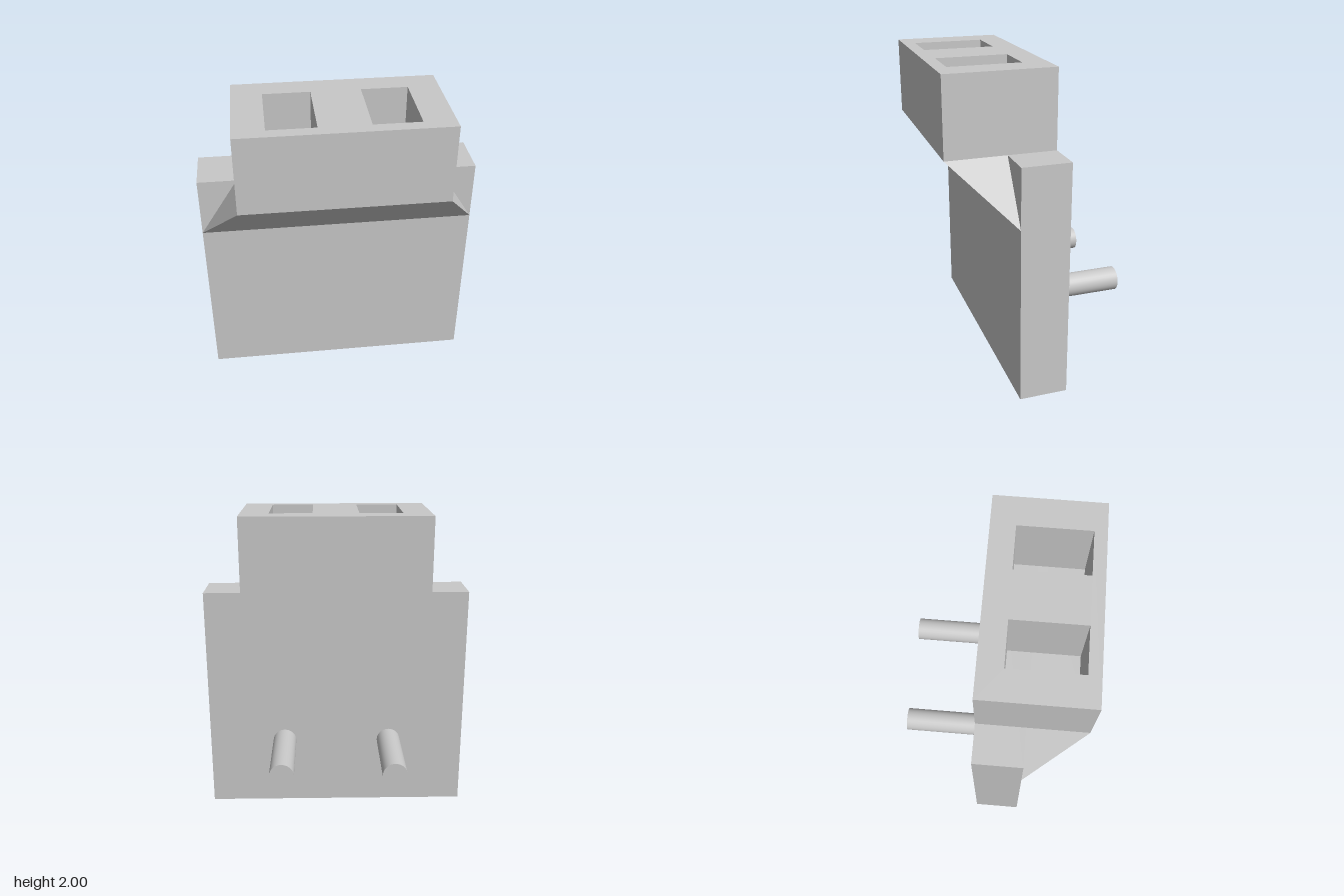
import * as THREE from 'three';
import { ConvexGeometry } from 'three/addons/geometries/ConvexGeometry.js';

const BACK = -0.07, FACE = 0.235, FRONT = 0.613; // depth of the back, plate face and head face
const SHOULDER = 1.507, TOP = 2;                // heights of the plate and the head
const PLATE_X = 0.87, HEAD_X = 0.628;           // half widths

// Closed counter-clockwise rectangle in the x/z plane
function rect(PathType, x0, x1, z0, z1) {
  return new PathType([[x0, z1], [x1, z1], [x1, z0], [x0, z0]].map(([x, z]) => new THREE.Vector2(x, -z)));
}

export function createModel() {
  const group = new THREE.Group();
  const grey = new THREE.MeshStandardMaterial({ color: 0xc8c8c8 });
  grey.name = 'grey';

  const add = (name, geometry, x = 0, y = 0, z = 0) => {
    const mesh = new THREE.Mesh(geometry, grey);
    mesh.name = name;
    mesh.position.set(x, y, z);
    group.add(mesh);
  };

  // Upright back plate
  add('backPlate', new THREE.BoxGeometry(PLATE_X * 2, SHOULDER, FACE - BACK), 0, SHOULDER / 2, (FACE + BACK) / 2);

  // Head block with two rectangular sockets, floored by the plate and bracket
  const outline = rect(THREE.Shape, -HEAD_X, HEAD_X, BACK, FRONT);
  outline.holes.push(rect(THREE.Path, -0.44, -0.153, 0.083, 0.535), rect(THREE.Path, 0.152, 0.437, 0.083, 0.535));
  const head = new THREE.ExtrudeGeometry(outline, { depth: TOP - SHOULDER, bevelEnabled: false });
  head.rotateX(-Math.PI / 2);
  add('socketHead', head, 0, SHOULDER, 0);

  // Sloped bracket flaring from the head down to the plate
  const corners = [];
  for (const s of [-1, 1]) {
    corners.push(
      new THREE.Vector3(s * HEAD_X, SHOULDER, FRONT),
      new THREE.Vector3(s * HEAD_X, SHOULDER, FACE),
      new THREE.Vector3(s * PLATE_X, 1.13, FACE)
    );
  }
  add('slopedBracket', new ConvexGeometry(corners));

  // Round pins on the back
  const length = 0.543;
  for (const [name, x] of [['rightPin', -0.36], ['leftPin', 0.358]]) {
    const pin = new THREE.CylinderGeometry(0.079, 0.079, length, 32);
    pin.rotateX(Math.PI / 2);
    add(name, pin, x, 0.457, BACK - length / 2);
  }
  return group;
}
